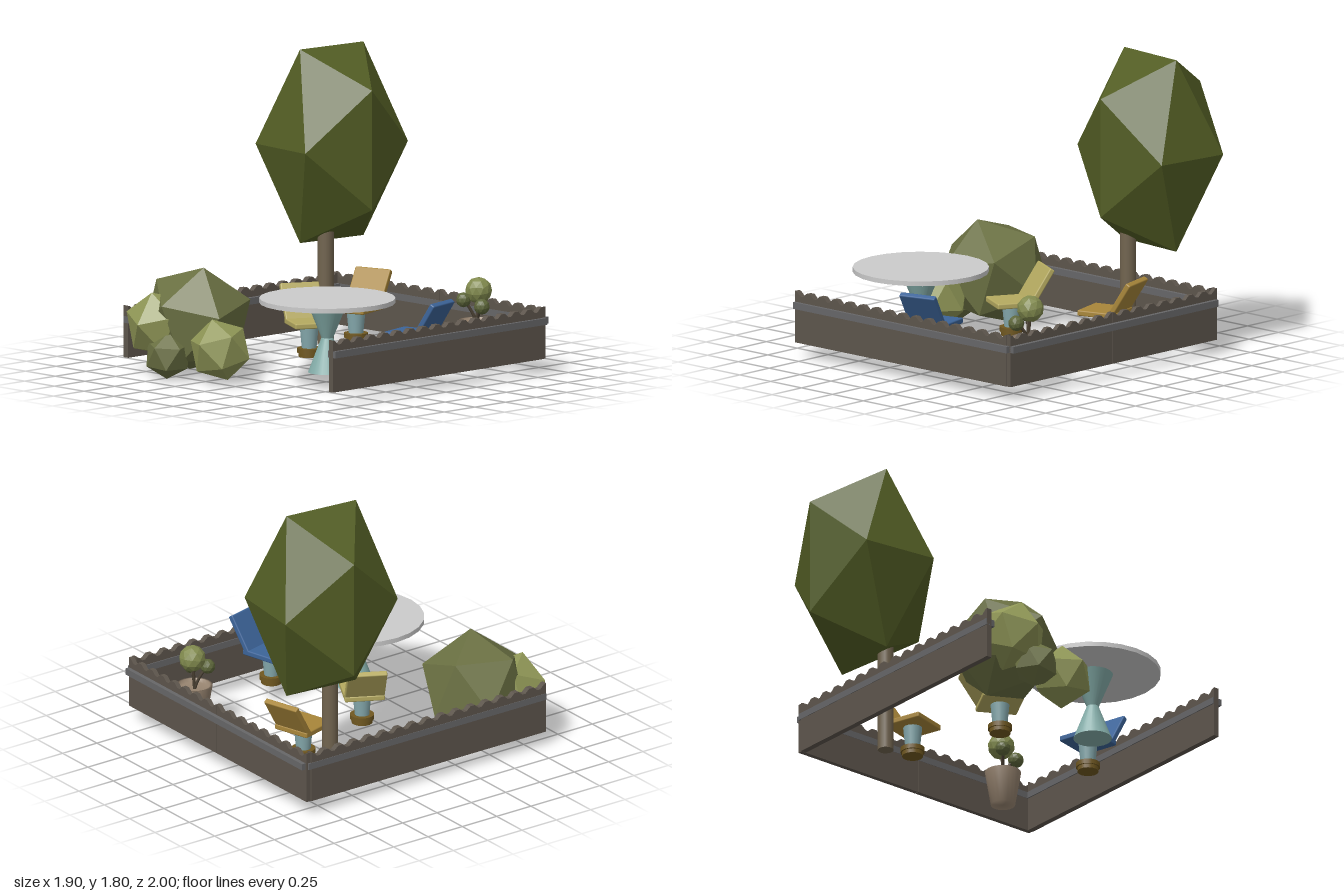
import * as THREE from 'three';
import { RoundedBoxGeometry } from 'three/addons/geometries/RoundedBoxGeometry.js';

const V = (x, y, z) => new THREE.Vector3(x, y, z);
const paint = (color, flatShading = false) => new THREE.MeshStandardMaterial({ color, flatShading });

function add(parent, name, geometry, material, x = 0, y = 0, z = 0) {
  const mesh = new THREE.Mesh(geometry, material);
  mesh.name = name;
  mesh.position.set(x, y, z);
  parent.add(mesh);
  return mesh;
}

// Rotation frame whose y axis is p and whose x axis leans towards q
function frame(p, q) {
  const y = p.clone().normalize();
  const x = q.clone().addScaledVector(y, -q.dot(y)).normalize();
  return new THREE.Matrix4().makeBasis(x, y, x.clone().cross(y));
}

// Faceted foliage clump with two neighbouring corners pointing along p and q
const T = (1 + Math.sqrt(5)) / 2;
function clump(parent, name, radius, centre, color, p, q, detail = 0) {
  const geometry = new THREE.IcosahedronGeometry(radius, detail);
  geometry.applyMatrix4(frame(p, q).multiply(frame(V(0, 1, T), V(0, -1, T)).transpose()));
  return add(parent, name, geometry, paint(color, true), ...centre);
}

// Fence panel from a to b along x with a scalloped top edge
function panelGeometry(a, b, depth) {
  const shape = new THREE.Shape();
  shape.moveTo(a, 0.085);
  shape.lineTo(b, 0.085);
  const n = Math.round((b - a) / 0.105);
  const step = (b - a) / n;
  shape.lineTo(b, 0.395);
  for (let i = n - 1; i >= 0; i--) {
    const x = a + i * step;
    shape.lineTo(x + step * 0.85, 0.39);
    shape.lineTo(x + step * 0.6, 0.366);
    shape.lineTo(x + step * 0.4, 0.366);
    shape.lineTo(x + step * 0.15, 0.39);
  }
  shape.lineTo(a, 0.395);
  return new THREE.ExtrudeGeometry(shape, { depth, bevelEnabled: false });
}

function createFence() {
  const fence = new THREE.Group();
  fence.name = 'fence';
  const wood = paint(0x5d554c, true);
  const metal = paint(0x666668, true);
  for (const [a, b] of [[-0.83, 0.053], [0.057, 0.92]])
    add(fence, 'backFencePanel', panelGeometry(a, b, 0.028), wood, 0, 0, -0.89);
  for (const [name, x] of [['leftFencePanel', 0.925], ['rightFencePanel', -0.8]])
    add(fence, name, panelGeometry(-0.86, 0.85, 0.036), wood, x, 0, 0).rotation.y = -Math.PI / 2;
  // Rails just below the scalloped edge
  add(fence, 'backRail', new THREE.BoxGeometry(1.74, 0.04, 0.055), metal, 0.05, 0.31, -0.8875);
  add(fence, 'leftRail', new THREE.BoxGeometry(0.062, 0.04, 1.73), metal, 0.914, 0.31, -0.015);
  add(fence, 'rightRail', new THREE.BoxGeometry(0.062, 0.04, 1.73), metal, -0.808, 0.31, -0.015);
  return fence;
}

function createTable() {
  const table = new THREE.Group();
  table.name = 'table';
  const glaze = paint(0x85aeaa);
  add(table, 'tableTop', new THREE.CylinderGeometry(0.4, 0.4, 0.028, 24), paint(0xcccccc), 0, 0.512, 0);
  add(table, 'lowerPedestal', new THREE.CylinderGeometry(0.035, 0.113, 0.205, 24), glaze, 0, 0.1875, 0);
  add(table, 'upperPedestal', new THREE.CylinderGeometry(0.119, 0.035, 0.208, 24), glaze, 0, 0.394, 0);
  table.position.set(0.372, 0, 0.36);
  return table;
}

// Chair at (x, z) whose backrest lies towards (dx, dz)
function createChair(name, color, x, z, dx, dz, y) {
  const chair = new THREE.Group();
  chair.name = name;
  const fabric = paint(color);
  const brass = paint(0x705820);
  add(chair, 'seat', new RoundedBoxGeometry(0.245, 0.034, 0.237, 2, 0.008), fabric, 0, 0.302, 0);
  const back = new THREE.Group();
  back.name = 'backrest';
  back.position.set(0.088, 0.3, 0);
  back.rotation.z = -0.56;
  add(back, 'backPanel', new RoundedBoxGeometry(0.034, 0.245, 0.237, 2, 0.008), fabric, 0, 0.118, 0);
  chair.add(back);
  add(chair, 'leg', new THREE.CylinderGeometry(0.056, 0.043, 0.135, 20), paint(0x86aaae), 0, 0.2185, 0);
  add(chair, 'footRing', new THREE.CylinderGeometry(0.071, 0.071, 0.028, 20), brass, 0, 0.141, 0);
  add(chair, 'foot', new THREE.CylinderGeometry(0.062, 0.062, 0.025, 20), brass, 0, 0.115, 0);
  chair.position.set(x, y, z);
  chair.rotation.y = Math.atan2(-dz, dx);
  return chair;
}

function createTree() {
  const tree = new THREE.Group();
  tree.name = 'tree';
  add(tree, 'trunk', new THREE.CylinderGeometry(0.047, 0.047, 0.77, 16), paint(0x71644f), -0.507, 0.437, -0.48);
  const crown = add(tree, 'crown', new THREE.IcosahedronGeometry(1, 0), paint(0x525d24, true), -0.575, 1.225, -0.595);
  crown.scale.set(0.449, 0.676, 0.449);
  crown.rotation.y = 1.465;
  return tree;
}

function createBush() {
  const bush = new THREE.Group();
  bush.name = 'bush';
  clump(bush, 'mainClump', 0.335, [-0.49, 0.327, 0.59], 0x6a7042, V(0.1, 0.318, 0.04), V(0.32, 0.14, 0.12));
  clump(bush, 'sideClump', 0.21, [-0.595, 0.305, 0.79], 0x8f9656, V(0.01, 0.18, 0.07), V(0.19, 0.05, 0.06));
  clump(bush, 'frontClump', 0.187, [-0.16, 0.195, 0.72], 0x8f9656, V(0.01, 0.05, 0.18), V(-0.02, 0.165, 0.08));
  clump(bush, 'lowClump', 0.142, [-0.465, 0.14, 0.85], 0x6a7042, V(0.02, 0.06, 0.13), V(0.12, 0.03, -0.02));
  return bush;
}

function createPlanter() {
  const planter = new THREE.Group();
  planter.name = 'planter';
  const clay = paint(0x96836f);
  const bark = paint(0x4a4032);
  const profile = [[0, 0.085], [0.072, 0.085], [0.107, 0.295], [0.094, 0.295], [0.09, 0.27], [0, 0.27]];
  const pot = new THREE.LatheGeometry(profile.map(p => new THREE.Vector2(...p)), 20);
  add(planter, 'pot', pot, new THREE.MeshStandardMaterial({ color: clay.color, side: THREE.DoubleSide }));
  // Each ball of leaves sits on its own stem rising from the soil
  const balls = [[0, 0.468, -0.015, 0.08], [0.073, 0.385, 0.03, 0.047], [-0.05, 0.415, 0.06, 0.045]];
  for (const [x, y, z, r] of balls) {
    clump(planter, 'leafBall', r, [x, y, z], r > 0.06 ? 0x818a4e : 0x5d663a, V(0.1, 1, 0.2), V(1, 0.3, 0.4), 1);
    const curve = new THREE.QuadraticBezierCurve3(V(0, 0.26, 0), V(x * 0.2, 0.34, z * 0.2), V(x, y, z));
    add(planter, 'stem', new THREE.TubeGeometry(curve, 6, 0.009, 6), bark);
  }
  planter.position.set(0.553, 0, -0.685);
  return planter;
}

export function createModel() {
  const model = new THREE.Group();
  model.name = 'gardenPatio';
  model.add(
    createFence(),
    createTable(),
    createChair('blueChair', 0x3c6499, 0.667, -0.04, 0.97, -0.25, 0),
    createChair('paleChair', 0xb5aa60, -0.087, 0.063, -0.88, -0.47, -0.015),
    createChair('goldChair', 0xa8863a, -0.28, -0.507, -0.28, -0.96, -0.015),
    createTree(),
    createBush(),
    createPlanter()
  );
  return model;
}
